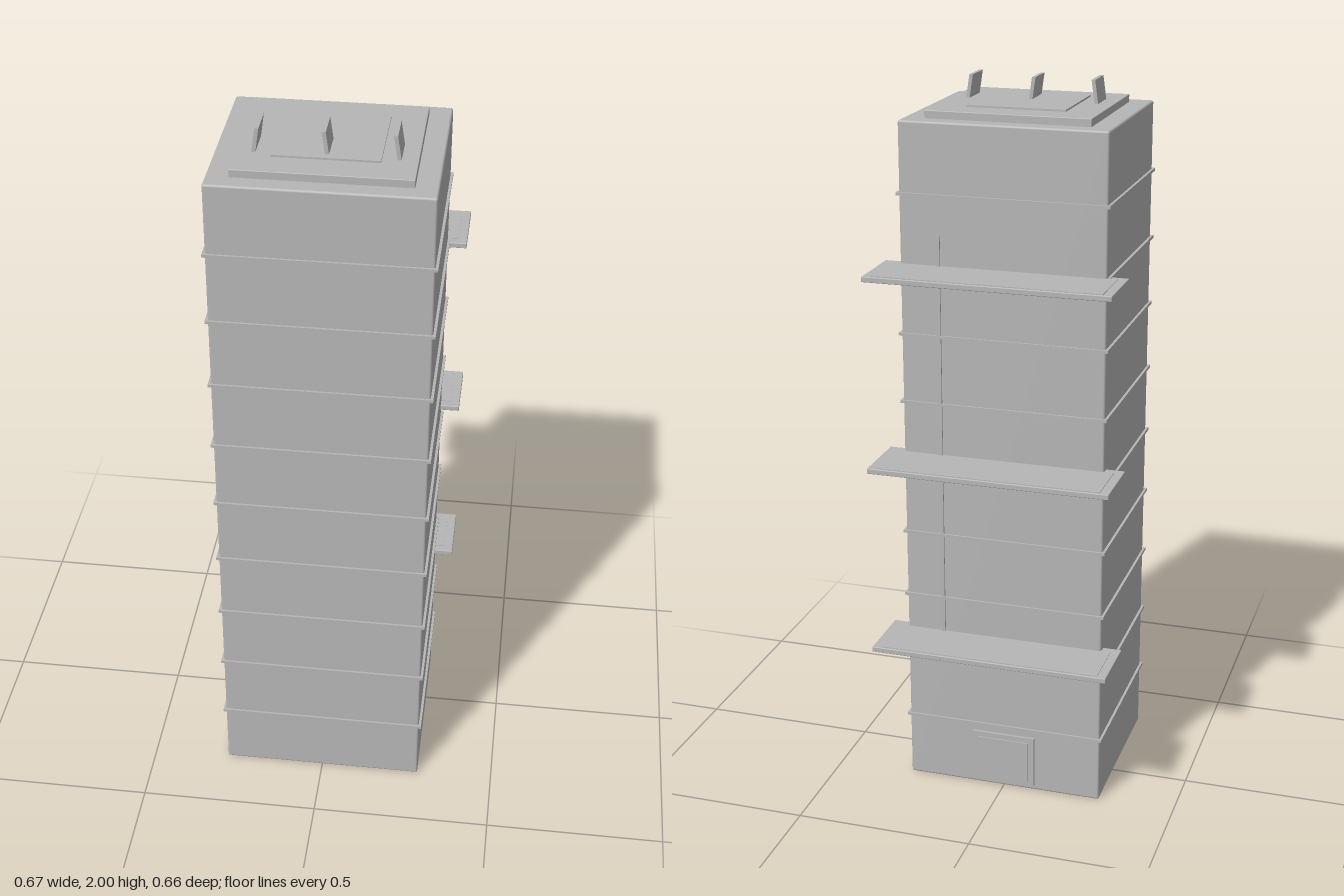
import * as THREE from 'three';
import { RoundedBoxGeometry } from 'three/addons/geometries/RoundedBoxGeometry.js';

export function createModel() {
  const model = new THREE.Group();
  model.name = 'tower';
  const concrete = new THREE.MeshStandardMaterial({ color: 0xb6b6b6 });
  concrete.name = 'concrete grey';

  const add = (name, geometry) => {
    const mesh = new THREE.Mesh(geometry, concrete);
    mesh.name = name;
    model.add(mesh);
    return mesh;
  };
  // Box given by its limits on each axis
  const block = (name, [x0, x1], [y0, y1], [z0, z1], bevel = 0) => {
    const size = [x1 - x0, y1 - y0, z1 - z0];
    const mesh = add(name, bevel
      ? new RoundedBoxGeometry(...size, 2, bevel)
      : new THREE.BoxGeometry(...size));
    mesh.position.set((x0 + x1) / 2, (y0 + y1) / 2, (z0 + z1) / 2);
    return mesh;
  };

  // Main shaft with softened edges
  block('towerBody', [-0.283, 0.283], [0, 1.916], [-0.175, 0.321], 0.006);

  // Thin bands marking each storey
  for (let i = 1; i <= 9; i++) {
    const y = i * 0.1915;
    block('storeyBand', [-0.29, 0.29], [y - 0.004, y + 0.004], [-0.181, 0.327]);
  }

  // Rear platforms, each with a slightly raised deck
  for (const y of [0.463, 0.995, 1.527]) {
    block('platform', [-0.335, 0.335], [y - 0.008, y + 0.007], [-0.329, -0.147], 0.002);
    block('platformDeck', [-0.31, 0.31], [y + 0.006, y + 0.009], [-0.323, -0.17]);
  }

  // Vertical conduit on the rear wall
  block('conduit', [0.171, 0.181], [0.42, 1.62], [-0.18, -0.17]);

  // Rear door
  block('doorFrame', [-0.092, 0.092], [0.015, 0.168], [-0.183, -0.17]);
  block('doorPanel', [-0.075, 0.075], [0.028, 0.153], [-0.187, -0.18]);

  // Stepped roof
  block('roofPlinth', [-0.225, 0.225], [1.91, 1.937], [-0.129, 0.275], 0.002);
  block('roofPad', [-0.135, 0.135], [1.93, 1.942], [-0.05, 0.197]);

  // Leaning roof fins: [foot x, top x]
  for (const [foot, top] of [[-0.18, -0.171], [0.002, -0.007], [0.178, 0.168]]) {
    const y0 = 1.935, y1 = 2, half = 0.005;
    const shape = new THREE.Shape([
      new THREE.Vector2(foot - half, y0), new THREE.Vector2(foot + half, y0),
      new THREE.Vector2(top + half, y1), new THREE.Vector2(top - half, y1),
    ]);
    add('roofFin', new THREE.ExtrudeGeometry(shape, { depth: 0.087, bevelEnabled: false }))
      .position.z = 0.09;
  }

  return model;
}
